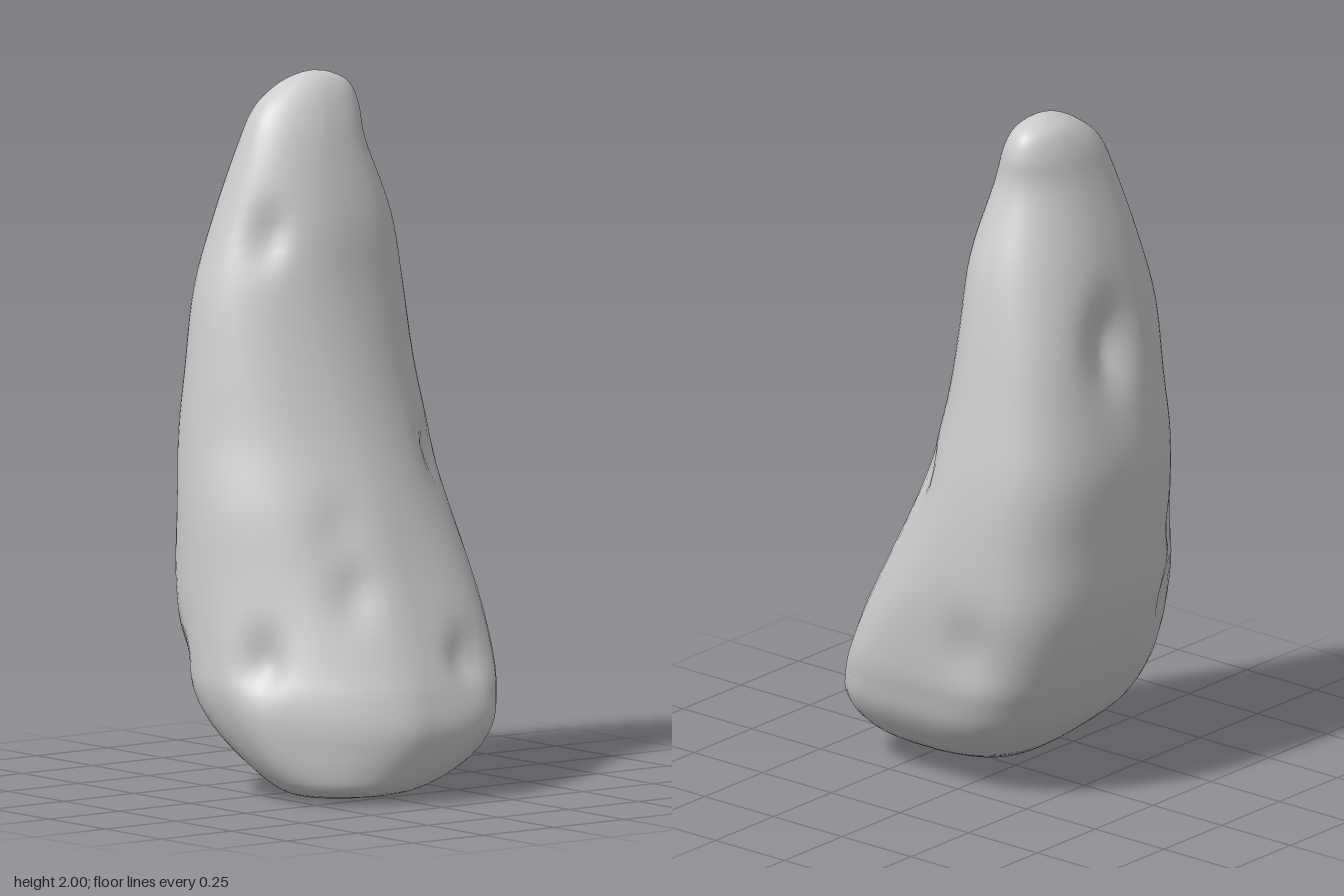
import * as THREE from 'three';

// Cross-section extents: y, xMin, xMax, zMin, zMax
const ROWS = [
  [0.005, 0.12, 0.12, 0.08, 0.08],
  [0.01, 0.05, 0.22, -0.01, 0.18],
  [0.035, -0.01, 0.36, -0.1, 0.27],
  [0.1, -0.11, 0.415, -0.23, 0.33],
  [0.2, -0.235, 0.445, -0.32, 0.38],
  [0.3, -0.305, 0.425, -0.36, 0.407],
  [0.4, -0.355, 0.385, -0.385, 0.405],
  [0.6, -0.42, 0.3, -0.41, 0.395],
  [0.8, -0.435, 0.225, -0.41, 0.385],
  [1.0, -0.445, 0.15, -0.395, 0.36],
  [1.2, -0.415, 0.09, -0.365, 0.335],
  [1.4, -0.385, 0.045, -0.335, 0.3],
  [1.6, -0.345, 0.015, -0.29, 0.235],
  [1.8, -0.29, -0.035, -0.215, 0.165],
  [1.9, -0.265, -0.07, -0.205, 0.115],
  [1.96, -0.235, -0.1, -0.18, 0.045],
  [1.99, -0.195, -0.13, -0.125, -0.015],
  [2.0, -0.165, -0.165, -0.07, -0.07],
];

// Surface pits: x, y, z, radius, depth
const DENTS = [
  [-0.39, 1.35, -0.05, 0.12, 0.055],
  [-0.06, 1.56, 0.18, 0.08, 0.035],
  [-0.21, 0.38, 0.32, 0.07, 0.04],
  [0.14, 0.4, 0.36, 0.09, 0.04],
  [0.29, 0.6, 0.13, 0.09, 0.03],
  [0.22, 0.76, 0.14, 0.1, 0.015],
  [-0.36, 0.55, 0.22, 0.07, 0.02],
  [0.35, 0.37, -0.19, 0.09, 0.045],
  [0.08, 0.94, -0.3, 0.08, 0.025],
  [-0.15, 0.48, -0.4, 0.12, 0.03],
  [-0.35, 0.73, 0.25, 0.06, 0.02],
];

// Squareness of each quadrant (from +x towards +z) at the foot, middle and tip
const POWER = [[1.55, 1.85, 1.8], [2.6, 1.95, 2.5], [3.2, 2.9, 1.9], [4.0, 2.0, 2.6]];

function createBody() {
  const { lerp, smoothstep } = THREE.MathUtils;
  const spline = (a, b) => new THREE.CatmullRomCurve3(
    ROWS.map((r) => new THREE.Vector3(r[a], r[0], r[b])), false, 'catmullrom', 0.5);
  const spanX = spline(1, 2), spanZ = spline(3, 4);
  const levels = 85, sides = 72, positions = [], indices = [];

  for (let j = 0; j <= levels; j++) {
    const sx = spanX.getPoint(j / levels), sz = spanZ.getPoint(j / levels);
    const y = Math.min(2, Math.max(0, sx.y));
    const cx = (sx.x + sx.z) / 2, hx = (sx.z - sx.x) / 2;
    const cz = (sz.x + sz.z) / 2, hz = (sz.z - sz.x) / 2;
    // The underside starts as a plain oval
    const powers = POWER.map(([foot, middle, tip]) => {
      const p = lerp(lerp(foot, middle, smoothstep(y, 0.25, 0.9)), tip, smoothstep(y, 1.1, 1.7));
      return lerp(2, p, smoothstep(y, -0.05, 0.18));
    });
    for (let i = 0; i < sides; i++) {
      const a = (i / sides) * Math.PI * 2, c = Math.cos(a), s = Math.sin(a);
      const p = powers[Math.floor((4 * i) / sides)];
      const r = Math.pow(Math.abs(c) ** p + Math.abs(s) ** p, -1 / p);
      const v = new THREE.Vector3(cx + hx * r * c, y, cz + hz * r * s);
      // Push pits in towards the core
      let push = 0;
      for (const [dx, dy, dz, radius, depth] of DENTS) {
        const d2 = (v.x - dx) ** 2 + ((v.y - dy) * 0.75) ** 2 + (v.z - dz) ** 2;
        push += depth * Math.exp(-d2 / (radius * radius * 0.5));
      }
      const inward = new THREE.Vector3(cx - v.x, 0, cz - v.z);
      if (inward.length() > 0.03) v.addScaledVector(inward.normalize(), push);
      positions.push(v.x, v.y, v.z);
      if (j < levels) {
        const k = j * sides + i, n = j * sides + ((i + 1) % sides);
        indices.push(k, k + sides, n, n, k + sides, n + sides);
      }
    }
  }
  const geometry = new THREE.BufferGeometry();
  geometry.setAttribute('position', new THREE.Float32BufferAttribute(positions, 3));
  geometry.setIndex(indices);
  geometry.computeVertexNormals();
  return geometry;
}

export function createModel() {
  const group = new THREE.Group();
  group.name = 'standingStone';
  const body = new THREE.Mesh(createBody(), new THREE.MeshStandardMaterial({ color: 0xcccccc }));
  body.name = 'stoneBody';
  group.add(body);
  return group;
}
